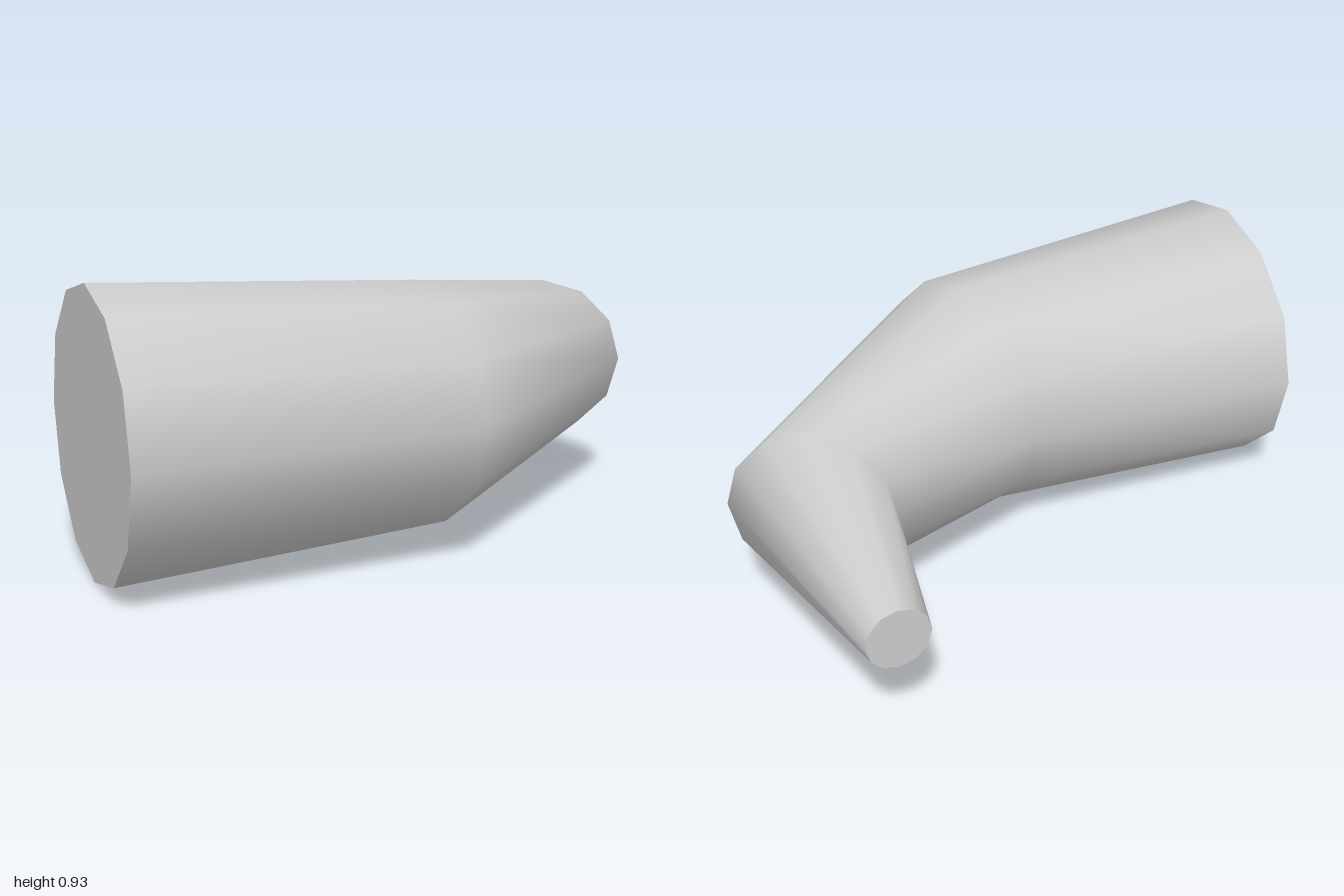
import * as THREE from 'three';

const SIDES = 12;
const MID_Y = 0.467;

// Rings of the bent limb: inner and outer edge as [x, z] at mid height
const RINGS = [
  { inner: [-0.99, 0.095], outer: [-0.766, 0.998] },
  { inner: [-0.05, -0.062], outer: [0.32, 0.647] },
  { inner: [0.465, -0.385], outer: [0.985, -0.212] },
  { inner: [0.455, -0.95], outer: [0.657, -1.0] },
];

// Points of one circular ring standing upright between its two edges
function ringPoints({ inner, outer }) {
  const centre = new THREE.Vector3((inner[0] + outer[0]) / 2, MID_Y, (inner[1] + outer[1]) / 2);
  const across = new THREE.Vector3(outer[0], MID_Y, outer[1]).sub(centre);
  const radius = across.length();
  return Array.from({ length: SIDES }, (_, i) => {
    const a = (i / SIDES) * Math.PI * 2;
    const p = centre.clone().addScaledVector(across, Math.cos(a));
    p.y += Math.sin(a) * radius;
    return p;
  });
}

function buildGeometry(points, index) {
  const geometry = new THREE.BufferGeometry().setFromPoints(points);
  geometry.setIndex(index);
  geometry.computeVertexNormals();
  return geometry;
}

// Smooth skin joining all rings
function skinGeometry(rings) {
  const index = [];
  for (let j = 0; j < rings.length - 1; j++) {
    for (let i = 0; i < SIDES; i++) {
      const next = (i + 1) % SIDES;
      const a = j * SIDES + i, b = j * SIDES + next;
      const c = a + SIDES, d = b + SIDES;
      index.push(a, c, b, b, c, d);
    }
  }
  return buildGeometry(rings.flat(), index);
}

// Flat disc closing one ring
function capGeometry(ring, reversed) {
  const index = [];
  for (let i = 1; i < SIDES - 1; i++) {
    index.push(0, ...(reversed ? [i + 1, i] : [i, i + 1]));
  }
  return buildGeometry(ring, index);
}

export function createModel() {
  const group = new THREE.Group();
  group.name = 'bentLimb';
  const grey = new THREE.MeshStandardMaterial({ color: 0xcccccc });
  grey.name = 'lightGrey';

  const add = (name, geometry) => {
    const mesh = new THREE.Mesh(geometry, grey);
    mesh.name = name;
    group.add(mesh);
  };

  const rings = RINGS.map(ringPoints);
  add('limbSkin', skinGeometry(rings));
  add('wideEndCap', capGeometry(rings[0], false));
  add('narrowEndCap', capGeometry(rings[rings.length - 1], true));
  return group;
}
